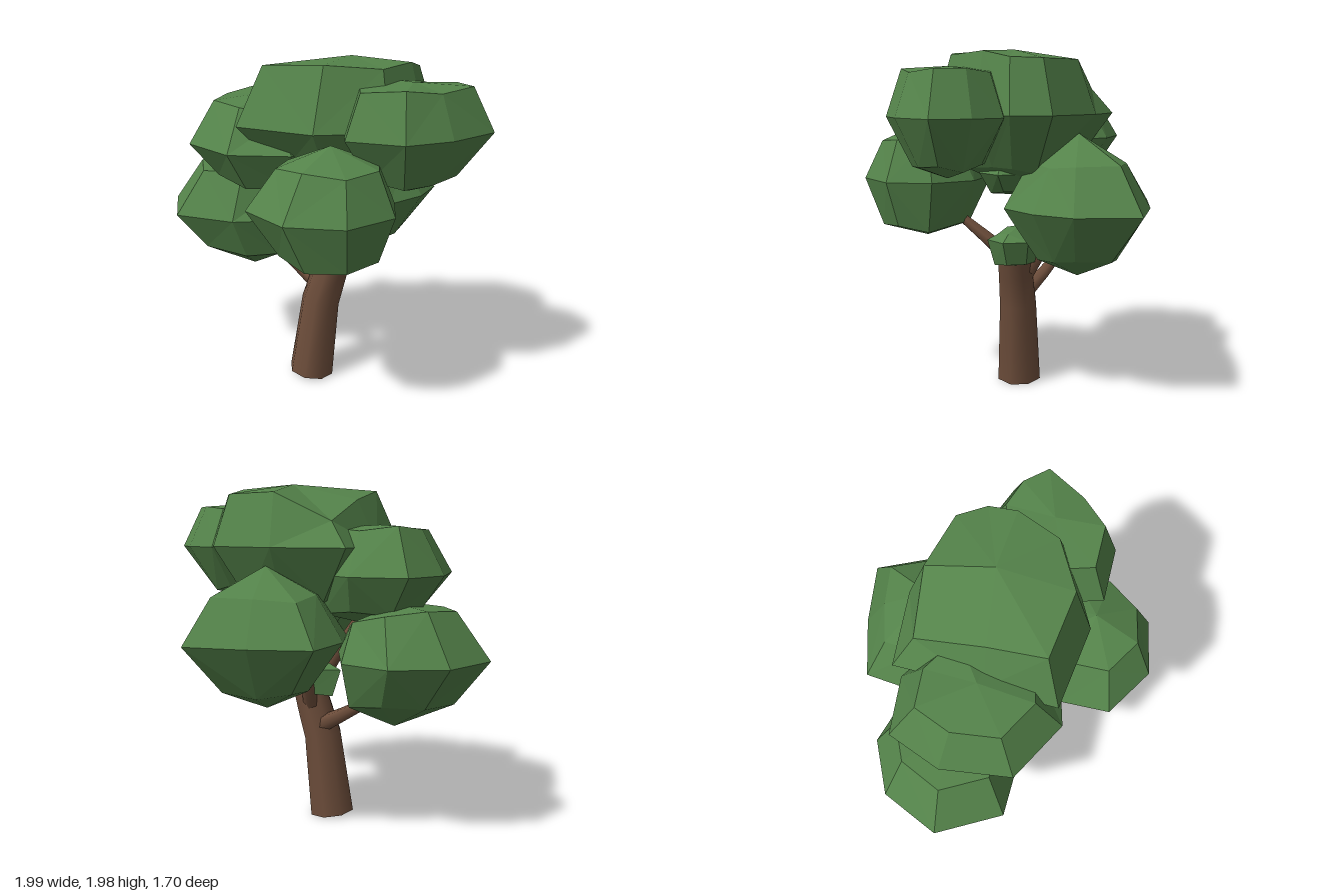
import * as THREE from 'three';

const leafGreen = new THREE.MeshStandardMaterial({ color: 0x54834a, flatShading: true });
leafGreen.name = 'leaf green';
const barkBrown = new THREE.MeshStandardMaterial({ color: 0x6f4f3c });
barkBrown.name = 'bark brown';

// Faceted leaf clump. outline: [x, z, lift] at height mid, lift raising the shoulder above that corner.
// upper / lower: [share of the height, share of the width, shift in x] of the rings above and below.
function leafClump(name, { outline, top, mid, bottom, upper, lower }) {
  const n = outline.length;
  const cx = outline.reduce((s, p) => s + p[0], 0) / n;
  const cz = outline.reduce((s, p) => s + p[1], 0) / n;
  const shift = (ring) => ring[2] ?? 0;
  const rings = [
    { y: bottom, w: 0, dx: shift(lower) },
    { y: mid + (bottom - mid) * lower[0], w: lower[1], dx: shift(lower), uneven: 0.018 },
    { y: mid, w: 1, dx: 0 },
    { y: mid + (top - mid) * upper[0], w: upper[1], dx: shift(upper), uneven: 0.014, shoulder: true },
    { y: top, w: 0, dx: shift(upper) },
  ];
  const positions = [];
  const index = [];
  rings.forEach(({ y, w, dx, uneven = 0, shoulder }, r) => {
    outline.forEach(([x, z, lift = 0], i) => {
      const rise = uneven * (Math.sin(i * 2.3 + r) - 0.7) + (shoulder ? lift : 0);
      positions.push(cx + dx + (x - cx) * w, y + rise, cz + (z - cz) * w);
    });
  });
  for (let r = 0; r < rings.length - 1; r++) {
    for (let i = 0; i < n; i++) {
      const a = r * n + i, b = r * n + (i + 1) % n;
      const c = a + n, d = b + n;
      if ((i + r) % 2) index.push(a, c, b, b, c, d);
      else index.push(a, d, b, a, c, d);
    }
  }
  const geometry = new THREE.BufferGeometry();
  geometry.setAttribute('position', new THREE.Float32BufferAttribute(positions, 3));
  geometry.setIndex(index);
  geometry.computeVertexNormals();
  const mesh = new THREE.Mesh(geometry, leafGreen);
  mesh.name = name;
  return mesh;
}

// Tapered round limb through centres [x, y, z, radius]; ends are capped.
function limb(name, stations, sides) {
  const rows = stations.length - 1;
  const geometry = new THREE.CylinderGeometry(1, 1, 1, sides, rows);
  const { position: p, normal } = geometry.attributes;
  const points = stations.map((s) => new THREE.Vector3(s[0], s[1], s[2]));
  const v = new THREE.Vector3();
  for (let i = 0; i < p.count; i++) {
    const k = Math.round((p.getY(i) + 0.5) * rows);
    const dir = points[Math.min(k + 1, rows)].clone().sub(points[Math.max(k - 1, 0)]).normalize();
    const turn = new THREE.Quaternion().setFromUnitVectors(new THREE.Vector3(0, 1, 0), dir);
    v.set(p.getX(i), 0, p.getZ(i)).multiplyScalar(stations[k][3]).applyQuaternion(turn).add(points[k]);
    p.setXYZ(i, v.x, v.y, v.z);
    v.fromBufferAttribute(normal, i).applyQuaternion(turn);
    normal.setXYZ(i, v.x, v.y, v.z);
  }
  const mesh = new THREE.Mesh(geometry, barkBrown);
  mesh.name = name;
  return mesh;
}

const clumps = {
  topLeaves: {
    outline: [[0.61, 0], [0.48, 0.3], [0.12, 0.47], [-0.34, 0.39], [-0.32, 0, -0.06], [-0.3, -0.48, -0.2], [0.12, -0.5, -0.02], [0.52, -0.39, -0.04], [0.63, -0.2, -0.04]],
    top: 1.98, mid: 1.63, bottom: 1.2, upper: [0.96, 0.78, 0.01], lower: [0.65, 0.6],
  },
  upperLeftLeaves: {
    outline: [[0.99, 0.06], [0.82, 0.34], [0.61, 0.52], [0.3, 0.51], [0.24, 0.3], [0.3, -0.05], [0.65, -0.18], [0.85, -0.1]],
    top: 1.88, mid: 1.62, bottom: 1.3, upper: [0.95, 0.75, -0.02], lower: [0.75, 0.6, -0.02],
  },
  upperRightLeaves: {
    outline: [[0.06, 0.05, -0.06], [-0.04, 0.35, -0.06], [-0.38, 0.43, -0.03], [-0.7, 0.24], [-0.74, -0.14], [-0.62, -0.43], [-0.3, -0.45], [0, -0.25]],
    top: 1.75, mid: 1.48, bottom: 1.18, upper: [0.96, 0.66], lower: [0.65, 0.72, 0.04],
  },
  lowerRightLeaves: {
    outline: [[-0.13, -0.12, -0.11], [-0.2, 0.13, -0.1], [-0.45, 0.24], [-0.82, 0.22], [-1, -0.13], [-0.85, -0.45], [-0.56, -0.58], [-0.28, -0.49, -0.06]],
    top: 1.32, mid: 1.03, bottom: 0.63, upper: [0.95, 0.7, 0.05], lower: [0.56, 0.72, 0.06],
  },
  frontLeaves: {
    outline: [[0.58, 0.55], [0.4, 0.8], [0.09, 0.85], [-0.18, 0.67], [-0.18, 0.4], [0, 0.18], [0.3, 0.15], [0.52, 0.3]],
    top: 1.59, mid: 1.26, bottom: 0.92, upper: [0.72, 0.68, 0.03], lower: [0.75, 0.68, 0.04],
  },
  backLeaves: {
    outline: [[0.6, -0.53], [0.56, -0.3], [0.42, -0.08], [0.15, 0], [-0.18, -0.12], [-0.26, -0.4], [-0.22, -0.72], [0.11, -0.81], [0.46, -0.85]],
    top: 1.53, mid: 1.13, bottom: 0.74, upper: [0.62, 0.66], lower: [0.68, 0.55],
  },
  middleLeaves: {
    outline: [[0.43, -0.05], [0.34, 0.1], [0.1, 0.16], [-0.12, 0.12], [-0.18, -0.04], [0, -0.23], [0.3, -0.24]],
    top: 1.47, mid: 1.31, bottom: 1.17, upper: [0.7, 0.68], lower: [0.75, 0.68],
  },
  innerLeaves: {
    outline: [[0.34, -0.04], [0.26, 0.09], [0.1, 0.07], [-0.08, -0.03], [-0.14, -0.11], [0.05, -0.16], [0.26, -0.16]],
    top: 0.99, mid: 0.92, bottom: 0.75, upper: [0.7, 0.68], lower: [0.8, 0.78],
  },
};

export function createModel() {
  const tree = new THREE.Group();
  tree.name = 'tree';

  // Leaning trunk
  tree.add(limb('trunk', [
    [-0.04, 0.015, 0.015, 0.138],
    [0.015, 0.5, 0.0, 0.117],
    [0.07, 0.69, -0.008, 0.108],
    [0.12, 0.87, -0.01, 0.097],
  ], 8));

  // Branches reaching into the clumps
  const branches = {
    lowerRightBranch: [[0.02, 0.56, -0.04, 0.055], [-0.14, 0.65, -0.1, 0.042], [-0.37, 0.785, -0.17, 0.026]],
    upperRightBranch: [[0.09, 0.76, 0, 0.06], [-0.03, 0.93, -0.01, 0.046], [-0.22, 1.24, 0.05, 0.03]],
    frontBranch: [[0.11, 0.78, 0, 0.055], [0.15, 0.9, 0.13, 0.042], [0.18, 1.05, 0.32, 0.026]],
    backBranch: [[0.06, 0.68, -0.06, 0.05], [0.05, 0.82, -0.15, 0.038], [0.06, 1.0, -0.23, 0.026]],
  };
  for (const [name, stations] of Object.entries(branches)) tree.add(limb(name, stations, 6));

  // Foliage
  for (const [name, spec] of Object.entries(clumps)) tree.add(leafClump(name, spec));
  return tree;
}
